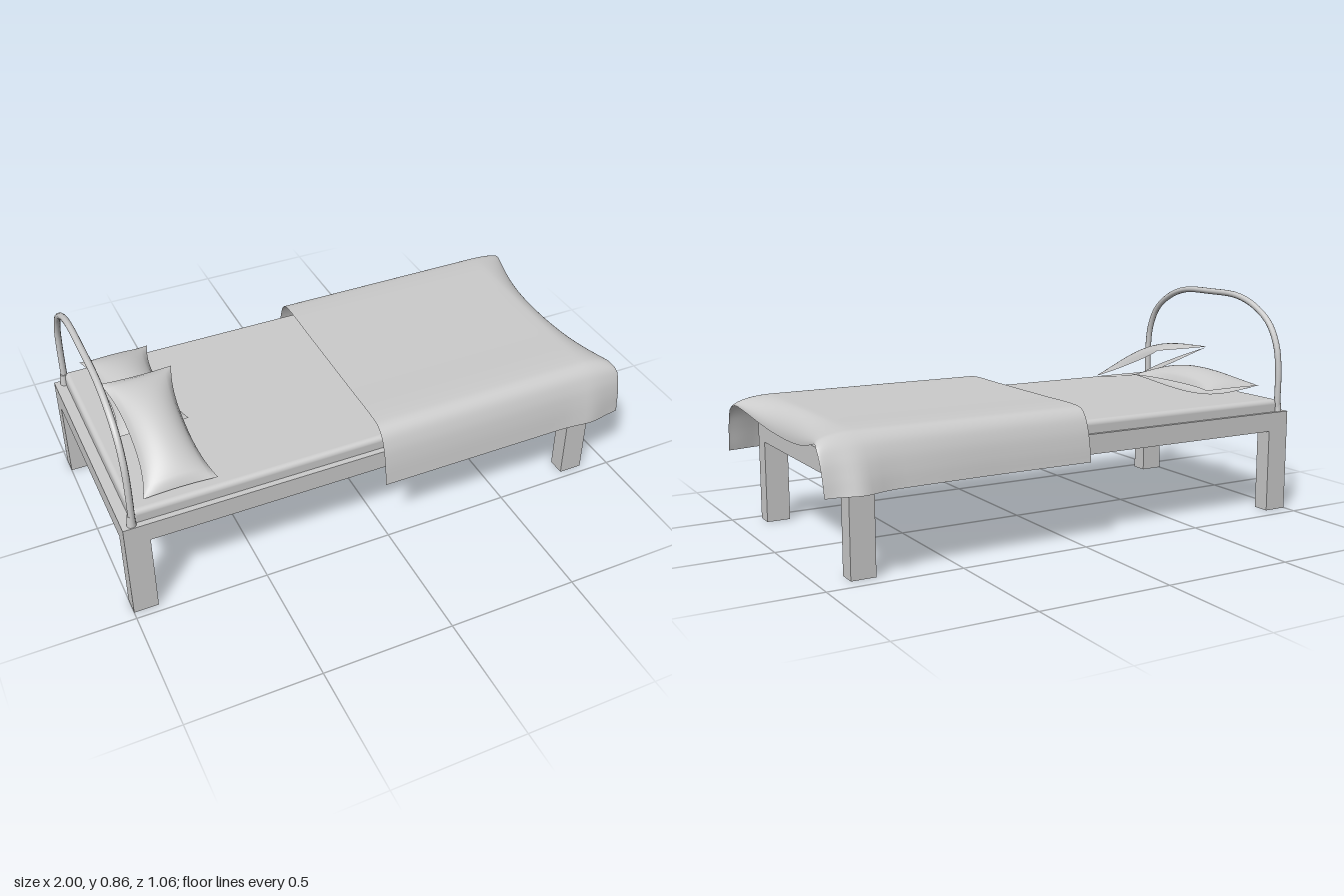
import * as THREE from 'three';
import { mergeGeometries } from 'three/addons/utils/BufferGeometryUtils.js';
import { RoundedBoxGeometry } from 'three/addons/geometries/RoundedBoxGeometry.js';

const grey = new THREE.MeshStandardMaterial({ color: 0xcccccc });
const cloth = new THREE.MeshStandardMaterial({ color: 0xcccccc, side: THREE.DoubleSide });

// Bed frame limits
const X0 = -1, X1 = 0.89, Z0 = -0.44, Z1 = 0.47, TOP = 0.4, MID_Z = 0.015;

function add(parent, name, geometry, material = grey) {
  const mesh = new THREE.Mesh(geometry, material);
  mesh.name = name;
  parent.add(mesh);
  return mesh;
}

// Box given by its limits on each axis
function span(parent, name, x0, x1, y0, y1, z0, z1) {
  const mesh = add(parent, name, new THREE.BoxGeometry(x1 - x0, y1 - y0, z1 - z0));
  mesh.position.set((x0 + x1) / 2, (y0 + y1) / 2, (z0 + z1) / 2);
  return mesh;
}

// Re-maps a unit plane: fn receives a, b in -1..1 and returns a point
function surface(nu, nv, fn) {
  const g = new THREE.PlaneGeometry(2, 2, nu, nv);
  const p = g.attributes.position;
  for (let i = 0; i < p.count; i++) p.setXYZ(i, ...fn(p.getX(i), -p.getY(i)));
  g.computeVertexNormals();
  return g;
}

// Pillow: two bulged sheets with pinched sides meeting at a thin seam
function pillowGeometry(length, up, down) {
  const side = (s, h) => surface(20, 28, (pa, pb) => {
    const a = pa * s, b = pb * s;
    const bulge = Math.pow((1 - a * a) * (1 - b * b), 0.6);
    return [
      a * (0.1 + 0.035 * Math.pow(Math.abs(b), 2.5)),
      s * h * bulge,
      b * (length / 2) * (1 - 0.02 * (1 - a * a)),
    ];
  });
  return mergeGeometries([side(1, up), side(-1, down)]);
}

// Blanket: a draped cross-section swept along x, drooping at the foot end
function blanketGeometry() {
  const section = new THREE.CatmullRomCurve3([
    [-0.49, 0.31], [-0.482, 0.37], [-0.468, 0.43], [-0.447, 0.475], [-0.42, 0.498],
    [-0.37, 0.505], [-0.18, 0.505], [0.015, 0.505], [0.2, 0.505], [0.39, 0.505],
    [0.435, 0.498], [0.465, 0.475], [0.488, 0.43], [0.503, 0.37], [0.515, 0.278],
  ].map(([z, y]) => new THREE.Vector3(0, y, z)), false, 'centripetal');
  return surface(32, 84, (a, b) => {
    const q = section.getPoint((b + 1) / 2);
    const t = (a + 1) / 2;
    const corner = Math.min(1, Math.abs((q.z - MID_Z) / 0.46)) ** 2;
    const hem = THREE.MathUtils.clamp((0.49 - q.y) / 0.19, 0, 1);
    const endX = 0.945 + 0.055 * corner;
    const s = Math.max(0, (t - 0.6) / 0.4);
    const x = t < 0.6 ? -0.025 + 0.875 * t / 0.6 : 0.85 + (endX - 0.85) * Math.sin(s * Math.PI / 2);
    const drop = (0.1 - 0.08 * corner) * (1 - hem) * (1 - Math.cos(s * Math.PI / 2));
    // Gentle flare of the hanging sides near the foot
    const fold = Math.exp(-(((x - 0.87) / 0.07) ** 2));
    const flare = q.z < 0 ? -0.03 * fold - 0.018 * THREE.MathUtils.smoothstep(x, 0.3, 1)
      : 0.012 * fold - 0.012 * s;
    return [x, q.y - drop, q.z + flare * hem];
  });
}

export function createModel() {
  const bed = new THREE.Group();
  bed.name = 'bed';

  // Frame: four square legs, rails and a bottom panel
  const frame = new THREE.Group();
  frame.name = 'frame';
  bed.add(frame);
  const legX = 0.092, legZ = 0.068, railY = 0.325;
  for (const x of [X0, X1 - legX])
    for (const z of [Z0, Z1 - legZ])
      span(frame, 'leg', x, x + legX, 0, TOP, z, z + legZ);
  for (const z of [Z0, Z1 - 0.03])
    span(frame, 'sideRail', X0 + legX, X1 - legX, railY, TOP, z, z + 0.03);
  for (const x of [X0, X1 - 0.04])
    span(frame, 'endRail', x, x + 0.04, railY - 0.007, TOP, Z0 + legZ, Z1 - legZ);
  span(frame, 'bottomPanel', X0 + 0.04, X1 - 0.04, 0.33, 0.39, Z0 + 0.03, Z1 - 0.03);

  // Mattress with softly rounded edges
  const mattress = add(bed, 'mattress', new RoundedBoxGeometry(1.83, 0.09, 0.875, 4, 0.02));
  mattress.position.set(-0.045, 0.405, MID_Z - 0.005);

  // Arched headboard tube, mirrored about the bed's middle
  const half = [[0.437, 0.39], [0.437, 0.57], [0.422, 0.66], [0.375, 0.745], [0.285, 0.808], [0.175, 0.843]];
  const arch = [...half, [0, 0.849], ...half.slice().reverse().map(([z, y]) => [-z, y])]
    .map(([z, y]) => new THREE.Vector3(-0.96, y, z + MID_Z));
  const path = new THREE.CatmullRomCurve3(arch, false, 'centripetal');
  add(bed, 'headboardArch', new THREE.TubeGeometry(path, 60, 0.0125, 10, false));
  for (const s of [-1, 1]) {
    const collar = add(bed, 'archCollar', new THREE.CylinderGeometry(0.013, 0.018, 0.05, 12));
    collar.position.set(-0.963, 0.42, MID_Z + s * 0.435);
  }

  // Pillows: one flat, one leaning on it
  const flat = add(bed, 'flatPillow', pillowGeometry(0.495, 0.055, 0.05));
  flat.position.set(-0.765, 0.504, -0.137);
  const leaning = add(bed, 'leaningPillow', pillowGeometry(0.495, 0.062, 0.035));
  leaning.position.set(-0.765, 0.54, 0.172);
  leaning.rotation.x = 0.35;

  add(bed, 'blanket', blanketGeometry(), cloth);
  return bed;
}
